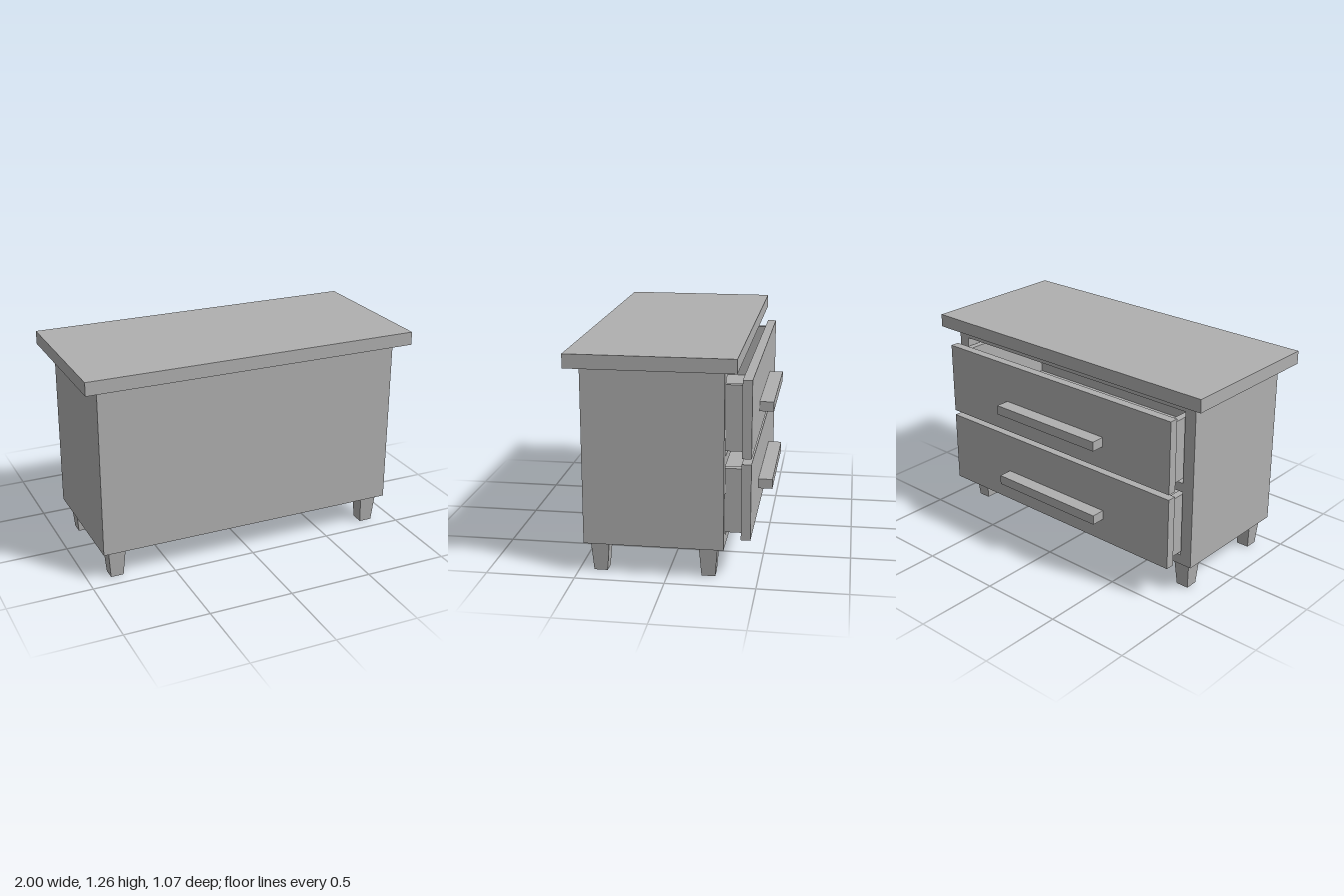
import * as THREE from 'three';

export function createModel() {
  const model = new THREE.Group();
  model.name = 'drawerCabinet';
  const grey = new THREE.MeshStandardMaterial({ color: 0xb0b0b0 });
  grey.name = 'plain grey';

  // Box given by its limits on each axis
  function box(parent, name, [x0, x1], [y0, y1], [z0, z1]) {
    const mesh = new THREE.Mesh(new THREE.BoxGeometry(x1 - x0, y1 - y0, z1 - z0), grey);
    mesh.position.set((x0 + x1) / 2, (y0 + y1) / 2, (z0 + z1) / 2);
    mesh.name = name;
    parent.add(mesh);
  }

  // Overhanging top
  box(model, 'tableTop', [-1, 1], [1.18, 1.258], [-0.387, 0.533]);

  // Hollow carcass, open towards -z
  const body = new THREE.Group();
  body.name = 'carcass';
  model.add(body);
  const w = 0.917, t = 0.07, depth = [-0.313, 0.463], inner = [-0.313, 0.4];
  box(body, 'leftSide', [w - t, w], [0.175, 1.18], depth);
  box(body, 'rightSide', [-w, t - w], [0.175, 1.18], depth);
  box(body, 'closedPanel', [t - w, w - t], [0.175, 1.18], [0.4, 0.463]);
  box(body, 'floor', [t - w, w - t], [0.175, 0.235], inner);
  box(body, 'ceiling', [t - w, w - t], [1.12, 1.18], inner);
  box(body, 'divider', [t - w, w - t], [0.635, 0.69], inner);

  // Two partly opened drawers, each an open tray with front and handle
  for (const [name, y] of [['lowerDrawer', 0], ['upperDrawer', 0.465]]) {
    const drawer = new THREE.Group();
    drawer.name = name;
    drawer.position.y = y;
    model.add(drawer);
    const x0 = -0.835, x1 = 0.82, s = 0.04, h = [0.246, 0.614], z = [-0.4, 0.3];
    box(drawer, 'trayLeft', [x1 - s, x1], h, z);
    box(drawer, 'trayRight', [x0, x0 + s], h, z);
    box(drawer, 'trayEnd', [x0 + s, x1 - s], h, [0.26, 0.3]);
    box(drawer, 'trayFloor', [x0 + s, x1 - s], [0.246, 0.28], [-0.4, 0.26]);
    box(drawer, 'drawerFront', [-0.86, 0.846], [0.213, 0.647], [-0.453, -0.4]);
    box(drawer, 'handle', [-0.386, 0.371], [0.352, 0.409], [-0.535, -0.453]);
  }

  // Tapered square legs
  const legShape = new THREE.CylinderGeometry(0.052 * Math.SQRT2, 0.038 * Math.SQRT2, 0.175, 4)
    .rotateY(Math.PI / 4).toNonIndexed();
  legShape.computeVertexNormals();
  for (const x of [-0.827, 0.827]) {
    for (const z of [-0.225, 0.379]) {
      const leg = new THREE.Mesh(legShape, grey);
      leg.name = 'leg';
      leg.position.set(x, 0.0875, z);
      model.add(leg);
    }
  }
  return model;
}
